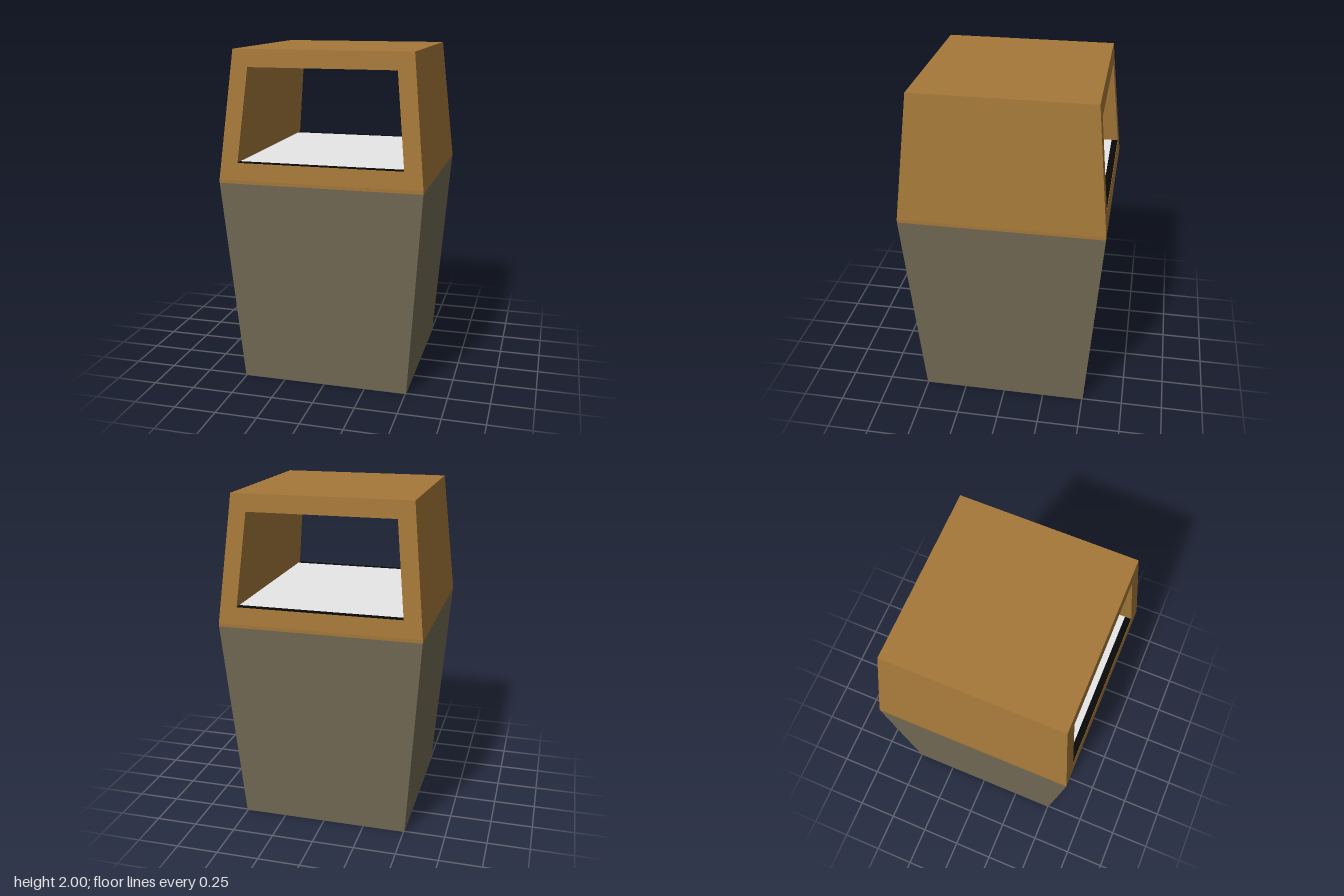
import * as THREE from 'three';

const material = (name, color, extra = {}) => {
  const m = new THREE.MeshStandardMaterial({ color, ...extra });
  m.name = name;
  return m;
};

// Four corners, counter-clockwise from the front: bottom left/right, top right/left.
const frameRing = (halfBottom, halfTop, yBottom, yTop, zBottom, zTop) => [
  [-halfBottom, yBottom, zBottom], [halfBottom, yBottom, zBottom],
  [halfTop, yTop, zTop], [-halfTop, yTop, zTop],
];

// Flat-sided skin joining consecutive four-cornered rings.
function loft(rings) {
  const points = [];
  for (let r = 0; r < rings.length - 1; r++) {
    const a = rings[r], b = rings[r + 1];
    for (let i = 0; i < 4; i++) {
      const j = (i + 1) % 4;
      points.push(...a[i], ...a[j], ...b[j], ...a[i], ...b[j], ...b[i]);
    }
  }
  const geometry = new THREE.BufferGeometry();
  geometry.setAttribute('position', new THREE.Float32BufferAttribute(points, 3));
  geometry.computeVertexNormals();
  return geometry;
}

export function createModel() {
  const model = new THREE.Group();
  model.name = 'litterBin';
  const stone = material('stoneGrey', 0x736a55, { flatShading: true });
  const brown = material('woodBrown', 0xa57839, { flatShading: true });
  const white = material('white', 0xffffff);
  const black = material('black', 0x080808);

  const add = (name, geometry, mat, x = 0, y = 0, z = 0) => {
    const mesh = new THREE.Mesh(geometry, mat);
    mesh.name = name;
    mesh.position.set(x, y, z);
    model.add(mesh);
    return mesh;
  };

  // Square bin flaring towards the top
  const body = new THREE.CylinderGeometry(0.595 * Math.SQRT2, 0.505 * Math.SQRT2, 1.24, 4, 1);
  body.rotateY(Math.PI / 4);
  add('binBody', body, stone, 0, 0.62, 0);

  // Straight band where the hood meets the bin
  add('hoodBand', new THREE.BoxGeometry(1.19, 0.02, 1.19), brown, 0, 1.25, 0);

  // Tapered hood with an opening running from front to back
  const outer = (s) => frameRing(0.595, 0.52, 1.26, 2, s * 0.595, s * 0.52);
  const inner = (s) => frameRing(0.485, 0.43, 1.36, 1.9, s * 0.585, s * 0.53);
  add('hood', loft([outer(1), inner(1), inner(-1), outer(-1), outer(1)]), brown);

  // Pale tray on the floor of the opening, with a dark sill at each end
  add('trayFloor', new THREE.BoxGeometry(0.966, 0.006, 1.09), white, 0, 1.36, 0);
  for (const side of [1, -1]) {
    add(side > 0 ? 'frontSill' : 'backSill',
      new THREE.BoxGeometry(0.966, 0.006, 0.038), black, 0, 1.36, side * 0.564);
  }

  return model;
}
